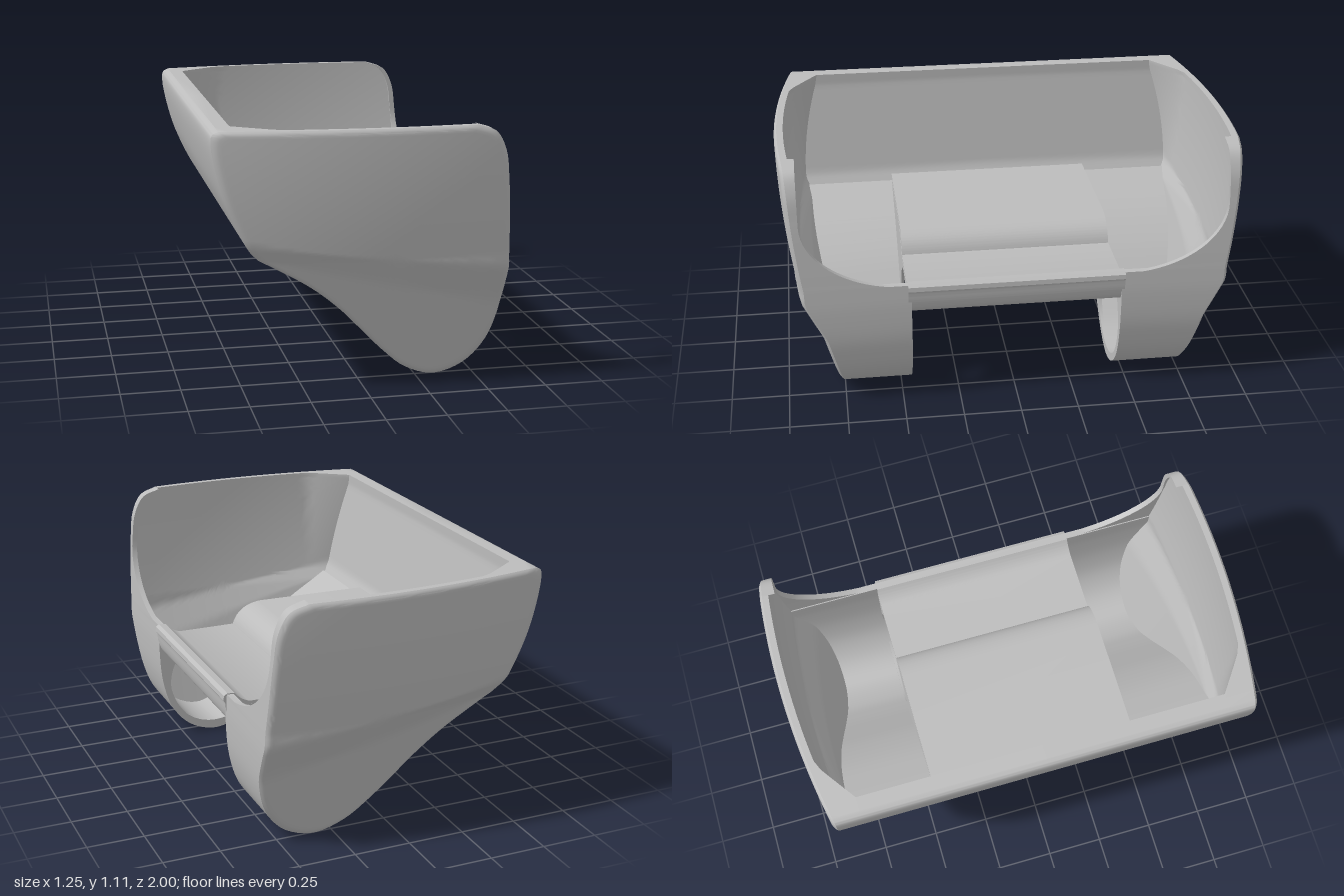
import * as THREE from 'three';
import { toCreasedNormals } from 'three/addons/utils/BufferGeometryUtils.js';

const TOP = 1.11, INNER_Z = 0.455, SKIN = 0.04, ROUND = 0.012;
const clamp = THREE.MathUtils.clamp, lerp = THREE.MathUtils.lerp;
const curve = pts => new THREE.CatmullRomCurve3(pts.map(p => new THREE.Vector3(p[0], p[1], 0)), false, 'centripetal');

// Side outline in four runs, anticlockwise from the top of the back wall
const runs = {
  back: { n: 28, path: curve([[-0.6, TOP], [-0.625, 1.095], [-0.63, 1.05], [-0.59, 0.86], [-0.54, 0.73], [-0.48, 0.615], [-0.44, 0.57]]) },
  lobe: { n: 54, path: curve([[-0.44, 0.57], [-0.35, 0.52], [-0.22, 0.44], [-0.1, 0.34], [0, 0.235], [0.1, 0.13], [0.2, 0.045],
    [0.33, 0], [0.46, 0.04], [0.55, 0.14], [0.595, 0.28], [0.608, 0.45], [0.605, 0.57]]) },
  front: { n: 36, path: curve([[0.605, 0.57], [0.597, 0.7], [0.583, 0.88], [0.565, 1], [0.52, 1.08], [0.44, TOP]]) },
  top: { n: 24, path: curve([[0.44, TOP], [-0.08, TOP], [-0.6, TOP]]) },
};

// Bowed end panel: gentle above, tucked in under a slanting crease
function panelZ(x, y) {
  const upper = 0.63 - 0.12 * (x + 0.45), lower = 0.58 - 0.24 * (x + 0.45);
  const bow = 0.07 * ((x - 0.1) / 0.7) ** 2;
  const tuck = 0.5 * clamp(upper - y, 0, Math.max(0, upper - lower)) + 0.28 * Math.max(0, Math.min(upper, lower) - y);
  const lean = 0.045 * clamp((TOP - y) / 0.55, 0, 1) ** 2;
  return 1 - bow - tuck - lean;
}

// Inside of the end panel, thickened towards the back corner
function innerZ(x, y) {
  return panelZ(x, y) - SKIN - 0.55 * Math.max(0, -0.36 - x) * clamp((y - 0.6) / 0.5, 0, 1);
}

// Curved edge of the front cut-out
function cutZ(y) {
  const t = clamp((y - 0.565) / 0.3, 0, 1);
  return 0.47 + 0.445 * Math.sqrt(1 - (1 - t) ** 2);
}

// Outline points with their inner offset and the depth each wall reaches
function outline() {
  const list = [];
  for (const [name, { n, path }] of Object.entries(runs)) {
    for (let i = 0; i <= n; i++) {
      const f = name === 'front' ? (i / n) ** 1.4 : i / n;
      const p = path.getPoint(f), d = path.getTangent(f);
      let ix = p.x, iy = p.y, zin = 0;
      if (name === 'back') {
        ix = lerp(-0.42, -0.46, clamp((p.y - 0.57) / 0.07, 0, 1)) - 0.08 * clamp((p.y - 0.64) / 0.42, 0, 1);
      } else if (name === 'lobe') {
        ix -= d.y * 0.03; iy += d.x * 0.03;
        zin = INNER_Z;
      } else if (name === 'front') {
        const t = 0.025 * (1 - f ** 4);
        ix -= d.y * t; iy += d.x * t;
        zin = Math.min(cutZ(p.y), innerZ(ix, iy));
      } else {
        ix = Math.max(ix, -0.54);
        zin = innerZ(ix, iy);
      }
      list.push({ x: p.x, y: p.y, ix, iy, zin });
    }
  }
  return list;
}

// One half of the shell: outer panel, outer walls, rim, inner walls, inner panel
function shellHalf(side) {
  const pts = outline(), cx = 0.1, cy = 0.62, rings = [];
  const ks = [0];
  for (let k = 1; k <= 23; k++) ks.push(k / 25);
  ks.push(0.94, 0.96, 0.975, 0.99, 1);
  const outerCap = k => pts.map(p => {
    const x = lerp(cx, p.x, k), y = lerp(cy, p.y, k);
    return new THREE.Vector3(x, y, panelZ(x, y) - ROUND * clamp((k - 0.96) / 0.04, 0, 1) ** 2);
  });
  const innerCap = k => pts.map(p => {
    const x = lerp(cx, p.ix, k), y = lerp(cy, p.iy, k);
    return new THREE.Vector3(x, y, innerZ(x, y));
  });
  for (const k of ks) rings.push(outerCap(k));
  rings.push(pts.map(p => new THREE.Vector3(p.x, p.y, p.zin)));
  rings.push(pts.map(p => new THREE.Vector3(p.ix, p.iy, p.zin)));
  for (const k of [...ks].reverse()) rings.push(innerCap(k));

  const pos = [], e1 = new THREE.Vector3(), e2 = new THREE.Vector3();
  const tri = (a, b, c) => {
    if (e1.subVectors(b, a).cross(e2.subVectors(c, a)).length() < 1e-9) return;
    for (const v of side > 0 ? [a, b, c] : [a, c, b]) pos.push(v.x, v.y, v.z * side);
  };
  for (let r = 0; r < rings.length - 1; r++) {
    for (let i = 0; i < pts.length; i++) {
      const j = (i + 1) % pts.length, A = rings[r], B = rings[r + 1];
      tri(A[i], B[i], B[j]);
      tri(A[i], B[j], A[j]);
    }
  }
  const g = new THREE.BufferGeometry();
  g.setAttribute('position', new THREE.Float32BufferAttribute(pos, 3));
  return toCreasedNormals(g, 0.6);
}

// Flat shape extruded between two depths
function slab(shape, z0, z1) {
  const g = new THREE.ExtrudeGeometry(shape, { depth: z1 - z0, bevelEnabled: false, curveSegments: 48 });
  g.translate(0, 0, z0);
  return toCreasedNormals(g, 0.5);
}

export function createModel() {
  const model = new THREE.Group();
  const grey = new THREE.MeshStandardMaterial({ color: 0xbcbcbc, side: THREE.DoubleSide });
  grey.name = 'plain grey';
  const add = (name, geometry) => {
    const mesh = new THREE.Mesh(geometry, grey);
    mesh.name = name;
    model.add(mesh);
  };

  // Hollow shell in two mirrored halves
  add('leftShell', shellHalf(1));
  add('rightShell', shellHalf(-1));

  // Inner lobe walls with a round hole and a straight back edge
  const edge = runs.lobe.path.getPoints(54).filter(p => p.x < -0.34 || p.x > 0 || p.y < 0.2);
  const wall = new THREE.Shape(edge.map(p => new THREE.Vector2(p.x, p.y)));
  wall.lineTo(0.57, 0.51);
  wall.lineTo(0.24, 0.51);
  wall.lineTo(0.09, 0.605);
  wall.lineTo(-0.42, 0.605);
  const hole = new THREE.Path();
  hole.absarc(0.335, 0.265, 0.222, 0, Math.PI * 2, true);
  wall.holes.push(hole);
  add('leftLobeWall', slab(wall, INNER_Z, INNER_Z + 0.014));
  add('rightLobeWall', slab(wall, -INNER_Z - 0.014, -INNER_Z));

  // Thin middle floor: flat shelf, rounded drop, shallow trough and turned-down front lip
  const floor = new THREE.Shape();
  floor.moveTo(-0.46, 0.62);
  floor.lineTo(-0.43, 0.585);
  floor.lineTo(0.07, 0.595);
  floor.quadraticCurveTo(0.17, 0.59, 0.2, 0.5);
  floor.lineTo(0.5, 0.5);
  floor.quadraticCurveTo(0.54, 0.49, 0.55, 0.44);
  floor.lineTo(0.58, 0.435);
  floor.quadraticCurveTo(0.608, 0.45, 0.612, 0.53);
  floor.lineTo(0.62, 0.545);
  floor.lineTo(0.618, 0.565);
  floor.lineTo(0.602, 0.575);
  floor.lineTo(0.57, 0.572);
  floor.quadraticCurveTo(0.54, 0.535, 0.5, 0.525);
  floor.lineTo(0.23, 0.525);
  floor.quadraticCurveTo(0.2, 0.615, 0.09, 0.625);
  floor.closePath();
  add('middleFloor', slab(floor, -0.468, 0.468));

  return model;
}
